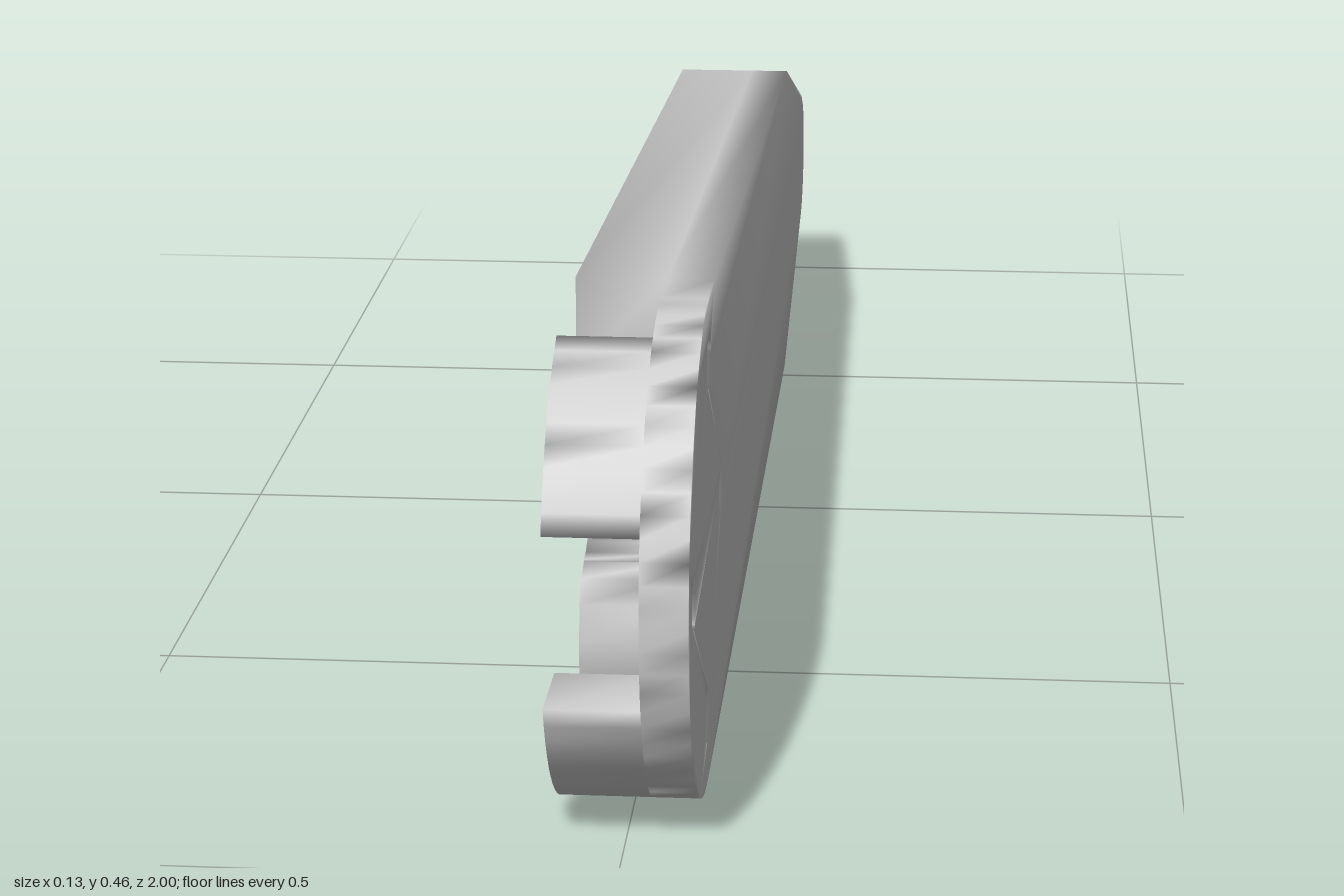
import * as THREE from 'three';
import { mergeGeometries, mergeVertices } from 'three/addons/utils/BufferGeometryUtils.js';

const X_BACK = -0.065, X_FLOOR = 0.02, X_FACE = 0.063; // layers through the thickness
const CZ = 0.77, CY = 0.2315, R = 0.2315;              // round front end
const material = new THREE.MeshStandardMaterial({ color: 0xcccccc });

// Points are [z, y], counter-clockwise.
function arc(cz, cy, r, fromDeg, toDeg, steps) {
  return Array.from({ length: steps + 1 }, (_, i) => {
    const a = THREE.MathUtils.degToRad(fromDeg + (toDeg - fromDeg) * i / steps);
    return [cz + r * Math.cos(a), cy + r * Math.sin(a)];
  });
}

const toVectors = (points) => points.map(([z, y]) => new THREE.Vector2(z, y));

// Flat face at x, looking towards -x, or towards +x when flipped
function cap(points, holes, x, flip) {
  const shape = new THREE.Shape(toVectors(points));
  holes.forEach((h) => shape.holes.push(new THREE.Path(toVectors(h))));
  const geo = new THREE.ShapeGeometry(shape).toNonIndexed();
  const src = geo.attributes.position;
  const out = [];
  for (let i = 0; i < src.count; i += 3) {
    for (const k of flip ? [0, 2, 1] : [0, 1, 2]) {
      out.push(x, src.getY(i + k), src.getX(i + k));
    }
  }
  return fromPositions(out);
}

// Side wall along a closed outline between two x values
function wall(points, x0, x1) {
  const out = [];
  points.forEach(([az, ay], i) => {
    const [bz, by] = points[(i + 1) % points.length];
    out.push(x0, ay, az, x1, by, bz, x0, by, bz);
    out.push(x0, ay, az, x1, ay, az, x1, by, bz);
  });
  return fromPositions(out);
}

function fromPositions(values) {
  const geo = new THREE.BufferGeometry();
  geo.setAttribute('position', new THREE.Float32BufferAttribute(values, 3));
  return geo;
}

// Weld the pieces into one smoothly shaded shell
function shell(name, pieces) {
  const geo = mergeVertices(mergeGeometries(pieces), 1e-4);
  geo.computeVertexNormals();
  const mesh = new THREE.Mesh(geo, material);
  mesh.name = name;
  return mesh;
}

export function createModel() {
  const group = new THREE.Group();
  group.name = 'blade';

  // Outline: round front end, then the long tapered rear with its blunt tip
  const front = arc(CZ, CY, R, -90, 90, 36);
  const rear = [
    [0.69, 0.458], [-0.55, 0.375], [-0.935, 0.255],
    ...arc(-0.92, 0.172, 0.08, 105, 255, 10),
    [-0.54, 0], [0.69, 0],
  ];
  const outline = [...front, ...rear];

  // Rear edge of the cross-shaped channel, from bottom to top
  const channel = [
    [0.69, 0.1], [0.682, 0.135], [0.665, 0.155], [0.64, 0.163],
    ...arc(0.64, 0.2375, 0.0725, 270, 90, 14),
    [0.665, 0.318], [0.682, 0.338], [0.69, 0.37],
  ];

  // Pin holes, one in each arm of the channel
  const holes = [[0.94, 0.237], [0.765, 0.402], [0.78, 0.065], [0.605, 0.227]]
    .map(([z, y]) => arc(z, y, 0.025, 360, 0, 20).slice(0, -1));

  const body = [...rear, ...channel];
  const floor = [[0.69, 0], ...front, [0.69, 0.458], ...channel.slice().reverse()];

  group.add(shell('bladeBody', [
    cap(outline, holes, X_FACE, true),
    wall(outline, X_FLOOR, X_FACE),
    cap(floor, holes, X_FLOOR, false),
    ...holes.map((h) => wall(h, X_FLOOR, X_FACE)),
    cap(body, [], X_BACK, false),
    wall(body, X_BACK, X_FLOOR),
  ]));

  // Two lugs between the open arms of the channel
  const upper = [
    ...arc(CZ, CY, R, 20, 70, 10),
    [0.848, 0.39], [0.852, 0.355], [0.868, 0.328], [0.895, 0.313],
  ];
  const lower = upper.map(([z, y]) => [z, 2 * CY - y]).reverse();
  for (const [name, points] of [['upperLug', upper], ['lowerLug', lower]]) {
    group.add(shell(name, [cap(points, [], X_BACK, false), wall(points, X_BACK, X_FLOOR)]));
  }
  return group;
}
